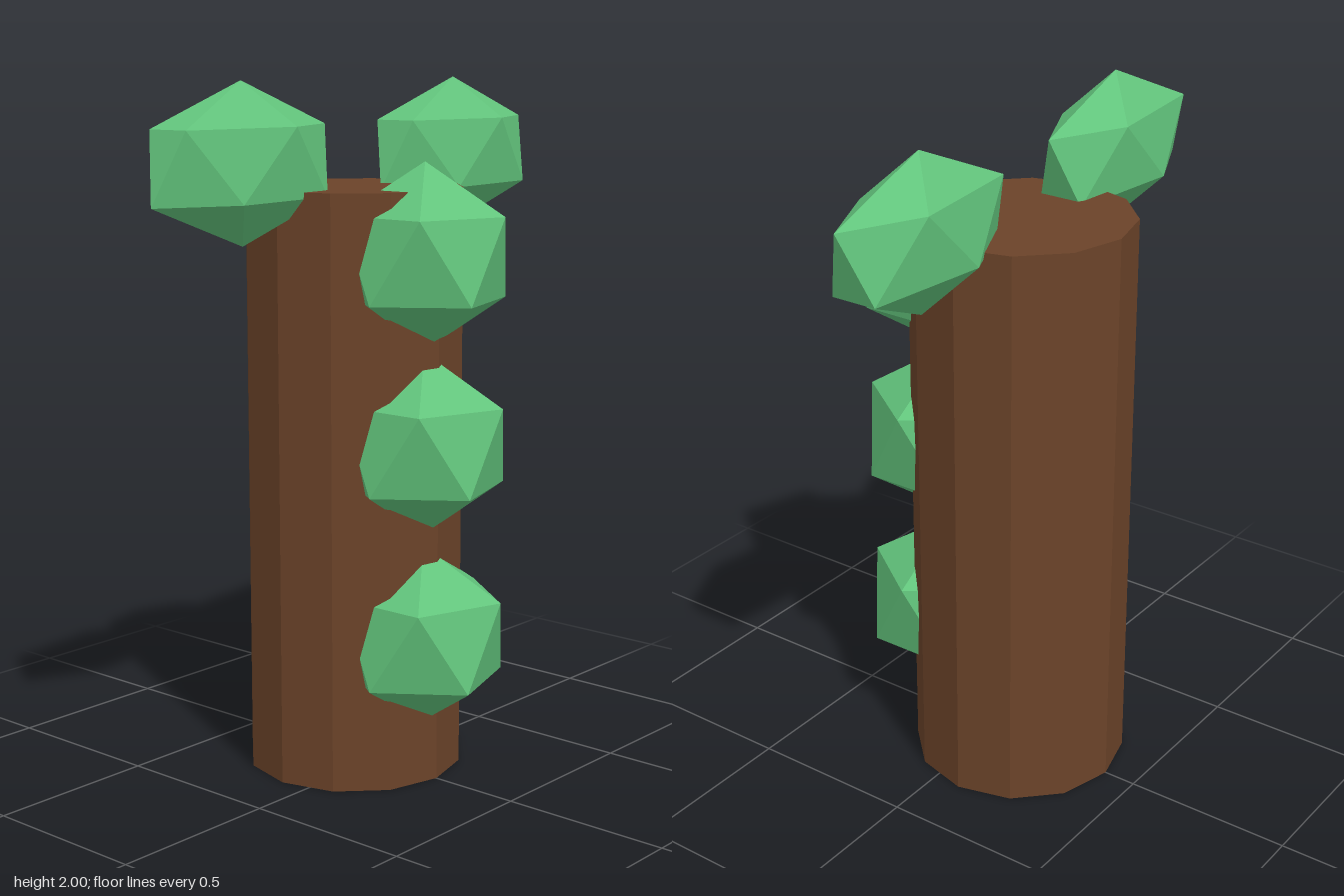
import * as THREE from 'three';

const bark = new THREE.MeshStandardMaterial({ color: 0x6b4329, flatShading: true });
const leaf = new THREE.MeshStandardMaterial({ color: 0x62c47c, flatShading: true });

// Icosahedron turned so one corner points straight up
function makeClump(name, position, radii) {
  const geometry = new THREE.IcosahedronGeometry(1, 0);
  geometry.rotateZ(-Math.atan(2 / (1 + Math.sqrt(5))));
  geometry.scale(...radii);
  const mesh = new THREE.Mesh(geometry, leaf);
  mesh.name = name;
  mesh.position.set(...position);
  return mesh;
}

export function createModel() {
  const group = new THREE.Group();
  group.name = 'treeTrunk';
  const axisZ = -0.086;

  // Twelve-sided trunk
  const trunk = new THREE.Mesh(new THREE.CylinderGeometry(0.316, 0.316, 1.7, 12), bark);
  trunk.name = 'trunk';
  trunk.position.set(0, 0.85, axisZ);
  group.add(trunk);

  // Round clumps up the front
  [0.426, 0.984, 1.515].forEach((y, i) => {
    group.add(makeClump(`frontClump${i + 1}`, [0, y, 0.177], [0.263, 0.263, 0.263]));
  });

  // Flattened leaves on top, both turned the same way
  for (const [name, x] of [['leftLeaf', 0.45], ['rightLeaf', -0.45]]) {
    group.add(makeClump(name, [x, 1.78, axisZ], [0.369, 0.22, 0.128]));
  }
  return group;
}
